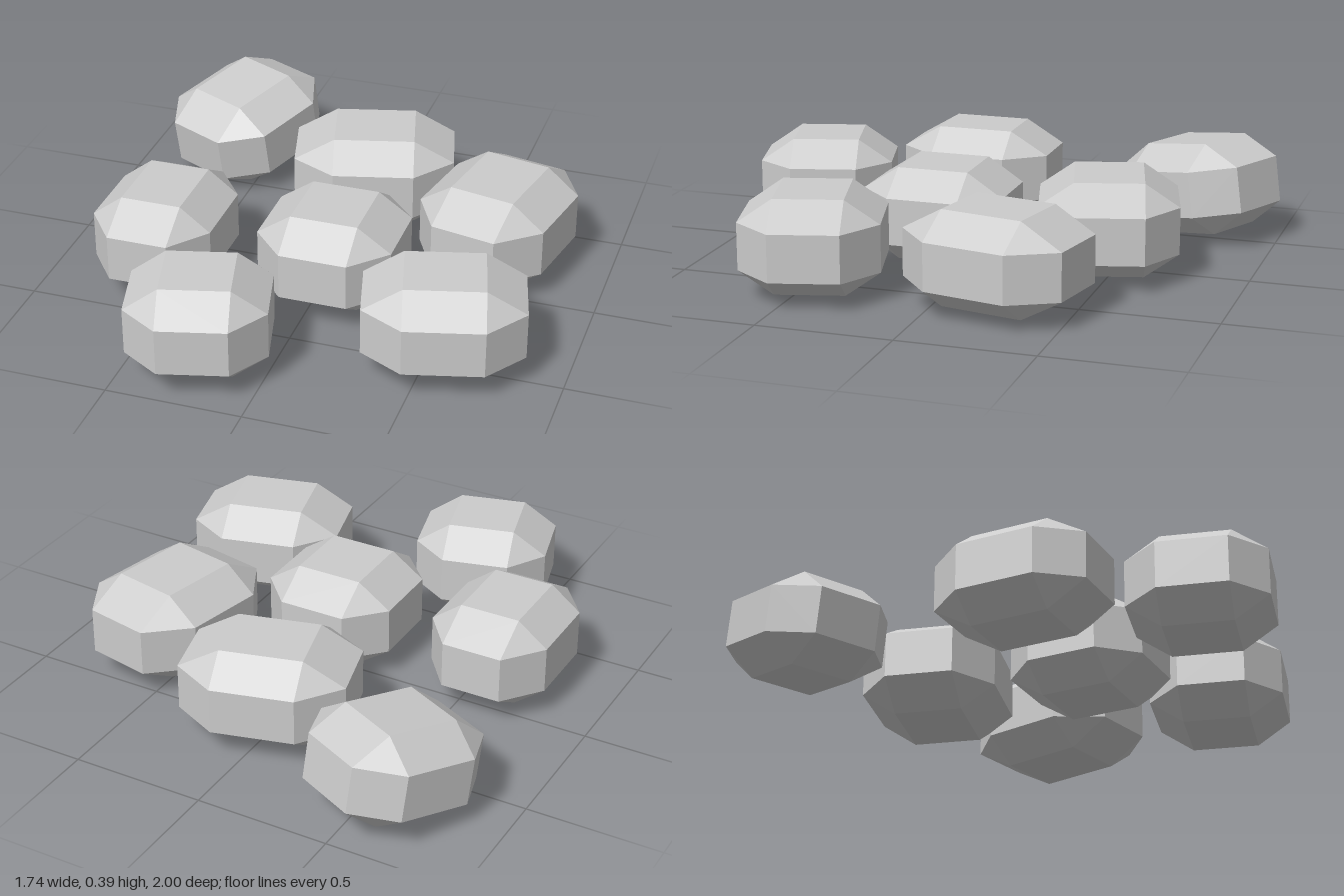
import * as THREE from 'three';
import { ConvexGeometry } from 'three/addons/geometries/ConvexGeometry.js';

// Unit stone: a cube with all edges and corners cut back to half
function stoneGeometry() {
  const points = [];
  for (const sx of [-1, 1]) for (const sy of [-1, 1]) for (const sz of [-1, 1]) {
    points.push(
      new THREE.Vector3(sx, sy * 0.5, sz * 0.5),
      new THREE.Vector3(sx * 0.5, sy, sz * 0.5),
      new THREE.Vector3(sx * 0.5, sy * 0.5, sz),
    );
  }
  return new ConvexGeometry(points);
}

// Half width, half depth, centre x and z, turn about y, tilt about the stone's own x
const STONES = [
  { name: 'leftStone', hx: 0.228, hz: 0.292, x: -0.585, z: 0.195, turn: 0, tilt: 0 },
  { name: 'centreStone', hx: 0.253, hz: 0.267, x: 0.055, z: 0.145, turn: 0, tilt: 0 },
  { name: 'frontStone', hx: 0.251, hz: 0.252, x: -0.253, z: 0.721, turn: 0.26, tilt: 0 },
  { name: 'frontRightStone', hx: 0.287, hz: 0.252, x: 0.556, z: 0.46, turn: 0.26, tilt: 0 },
  { name: 'backStone', hx: 0.306, hz: 0.254, x: 0.017, z: -0.477, turn: 0.26, tilt: 0 },
  { name: 'backRightStone', hx: 0.25, hz: 0.31, x: 0.575, z: -0.232, turn: -0.2, tilt: 0 },
  { name: 'tiltedStone', hx: 0.247, hz: 0.278, x: -0.587, z: -0.687, turn: -0.445, tilt: 0.155 },
];

export function createModel() {
  const group = new THREE.Group();
  group.name = 'steppingStones';
  const geometry = stoneGeometry();
  const material = new THREE.MeshStandardMaterial({ color: 0xcccccc, flatShading: true });

  for (const s of STONES) {
    const stone = new THREE.Mesh(geometry, material);
    stone.name = s.name;
    stone.scale.set(s.hx, 0.174, s.hz);
    stone.rotation.set(s.tilt, s.turn, 0, 'YXZ');
    stone.position.set(s.x, 0.198, s.z);
    group.add(stone);
  }
  return group;
}
